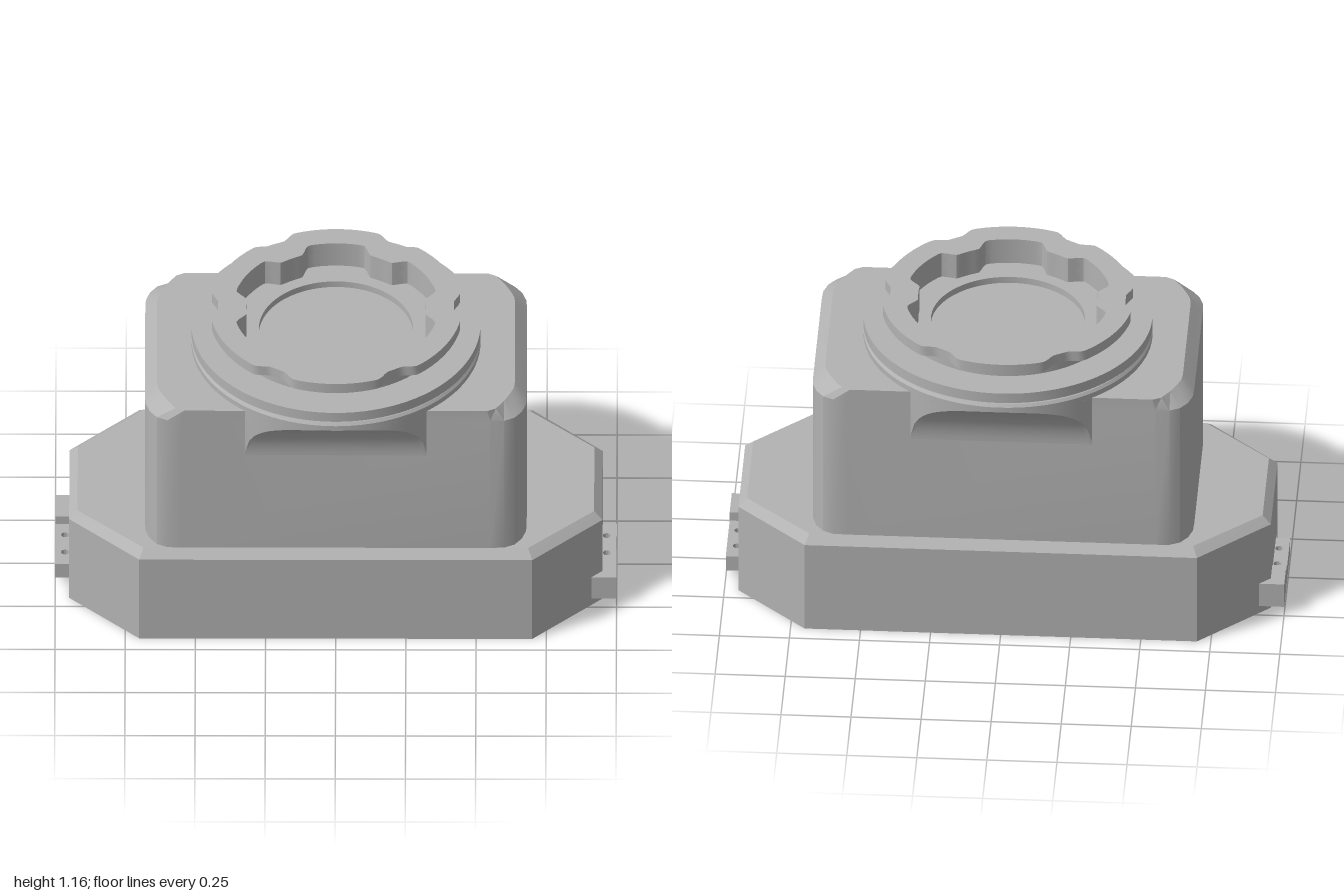
import * as THREE from 'three';
import { toCreasedNormals } from 'three/addons/utils/BufferGeometryUtils.js';

const grey = new THREE.MeshStandardMaterial({ color: 0xb2b2b2 });
grey.name = 'grey';
const greyOpen = grey; // one colour for every part

function add(parent, name, geometry, crease = 0.5) {
  const mesh = new THREE.Mesh(toCreasedNormals(geometry, crease), greyOpen);
  mesh.name = name;
  parent.add(mesh);
  return mesh;
}

// Mirrors a quarter outline (from the +x side to the z side) into a full loop
function mirrorOutline(q) {
  const r = [...q].reverse();
  return [
    ...q.map(([x, z]) => [x, -z]), ...r.map(([x, z]) => [-x, -z]),
    ...q.map(([x, z]) => [-x, z]), ...r.map(([x, z]) => [x, z]),
  ];
}

// Solid through stacked outlines: levels = [[y, outline], ...]
function loft(levels) {
  const pos = [];
  const tri = (...pts) => pts.forEach((p) => pos.push(...p));
  const rings = levels.map(([y, o]) => o.map(([x, z]) => [x, y, z]));
  const n = rings[0].length;
  for (let k = 0; k < rings.length - 1; k++) {
    for (let i = 0; i < n; i++) {
      const j = (i + 1) % n, a = rings[k], b = rings[k + 1];
      tri(a[i], a[j], b[j]);
      tri(a[i], b[j], b[i]);
    }
  }
  const cap = (ring, up) => {
    const c = [0, 1, 2].map((d) => ring.reduce((s, p) => s + p[d], 0) / n);
    for (let i = 0; i < n; i++) {
      const j = (i + 1) % n;
      if (up) tri(c, ring[i], ring[j]); else tri(c, ring[j], ring[i]);
    }
  };
  cap(rings[0], false);
  cap(rings[rings.length - 1], true);
  const g = new THREE.BufferGeometry();
  g.setAttribute('position', new THREE.Float32BufferAttribute(pos, 3));
  return g;
}

// Vertical extrusion of a plan shape between two heights
function extrudeUp(shape, y0, y1) {
  const g = new THREE.ExtrudeGeometry(shape, { depth: y1 - y0, bevelEnabled: false, curveSegments: 64 });
  return g.rotateX(-Math.PI / 2).translate(0, y0, 0);
}

// Circle with six inward dents, every 60 degrees
function dentedCircle(lobe, dent, flatDeg, rampDeg) {
  const pts = [];
  for (let d = 0; d < 360; d += 2) {
    const off = Math.abs(((d + 30) % 60) - 30);
    const t = THREE.MathUtils.smoothstep(off, flatDeg, rampDeg);
    const r = dent + (lobe - dent) * t, a = THREE.MathUtils.degToRad(d);
    pts.push(new THREE.Vector2(r * Math.cos(a), r * Math.sin(a)));
  }
  return pts;
}

// Concave flare below the ring, trimmed by the ring's cylinder
function flareGeometry() {
  const R = 0.231, face = 0.4, ringR = 0.515, half = 0.324, cols = 40, rows = 12;
  const pos = [], idx = [];
  for (let i = 0; i <= cols; i++) {
    const x = -half + (2 * half * i) / cols;
    const zc = Math.max(face, Math.sqrt(ringR * ringR - x * x));
    for (let k = 0; k <= rows; k++) {
      const d = (zc - face) * (k / rows) ** 2;
      pos.push(x, 0.8 + Math.sqrt(R * R - (R - d) ** 2), face + d);
    }
    pos.push(x, 1.0, zc);
  }
  const w = rows + 2;
  for (let i = 0; i < cols; i++) {
    for (let k = 0; k < w - 1; k++) {
      const a = i * w + k, b = a + w;
      idx.push(a, b, b + 1, a, b + 1, a + 1);
    }
  }
  const g = new THREE.BufferGeometry();
  g.setAttribute('position', new THREE.Float32BufferAttribute(pos, 3));
  g.setIndex(idx);
  return g;
}

export function createModel() {
  const model = new THREE.Group();
  model.name = 'mountAdapter';

  // Eight-sided base with a chamfered top edge
  const outer = mirrorOutline([[0.95, 0.2], [0.7, 0.435]]);
  const inner = mirrorOutline([[0.92, 0.185], [0.685, 0.4]]);
  add(model, 'base', loft([[0.1, outer], [0.355, outer], [0.383, inner]]), 0.1);

  // Two rails leave an open channel along the underside
  const rail = [[0.95, 0.13], [-0.95, 0.13], [-0.95, 0.2], [-0.7, 0.435], [0.7, 0.435], [0.95, 0.2]];
  for (const s of [1, -1]) {
    const outline = rail.map(([x, z]) => [x * s, z * s]);
    add(model, s > 0 ? 'frontRail' : 'backRail', loft([[0, outline], [0.1, outline]]), 0.1);
  }

  // Body with rounded corners and sloped end edges
  const wall = mirrorOutline([[0.68, 0.25], [0.678, 0.3], [0.663, 0.345], [0.637, 0.38], [0.6, 0.398], [0.55, 0.4]]);
  const top = mirrorOutline([[0.638, 0.23], [0.634, 0.265], [0.62, 0.3], [0.6, 0.34], [0.57, 0.385], [0.54, 0.4]]);
  add(model, 'body', loft([[0.38, wall], [0.955, wall], [1.0, top]]), 0.45);

  // Flares on the front and back
  for (const s of [1, -1]) {
    const flare = add(model, s > 0 ? 'frontFlare' : 'backFlare', flareGeometry(), 0.5);
    if (s < 0) flare.rotation.y = Math.PI;
  }

  // Grooved ring with the recessed floor
  const profile = [
    [0.3, 1.0], [0.515, 1.0], [0.515, 1.02], [0.507, 1.03], [0.492, 1.03], [0.492, 1.04],
    [0.515, 1.04], [0.515, 1.08], [0.38, 1.08], [0.38, 1.06], [0.275, 1.06], [0.275, 1.035], [0, 1.035],
  ].map(([r, y]) => new THREE.Vector2(r, y));
  add(model, 'ring', new THREE.LatheGeometry(profile, 96));

  // Neck and dented top flange share the same scalloped bore
  const bore = () => new THREE.Path(dentedCircle(0.367, 0.32, 7, 15));
  const neck = new THREE.Shape().absarc(0, 0, 0.4, 0, Math.PI * 2);
  neck.holes.push(bore());
  add(model, 'neck', extrudeUp(neck, 1.06, 1.12));
  const flange = new THREE.Shape(dentedCircle(0.45, 0.42, 3, 11));
  flange.holes.push(bore());
  add(model, 'topFlange', extrudeUp(flange, 1.12, 1.16));

  // Clips at both ends: drilled plate plus a taller block
  for (const s of [1, -1]) {
    const clip = new THREE.Group();
    clip.name = s > 0 ? 'leftClip' : 'rightClip';
    const plate = new THREE.Shape();
    plate.moveTo(0.85, -0.125).lineTo(1, -0.125).lineTo(1, 0.12).lineTo(0.85, 0.12).closePath();
    for (const [x, y] of [[0.965, 0.05], [0.965, -0.05], [0.89, 0.05], [0.89, -0.05], [0.925, 0]]) {
      plate.holes.push(new THREE.Path().absarc(x, y, 0.014, 0, Math.PI * 2, true));
    }
    add(clip, 'clipPlate', extrudeUp(plate, 0.03, 0.09));
    add(clip, 'clipBlock', new THREE.BoxGeometry(0.11, 0.095, 0.125).translate(0.945, 0.0775, 0.175));
    if (s < 0) clip.rotation.y = Math.PI;
    model.add(clip);
  }
  return model;
}
